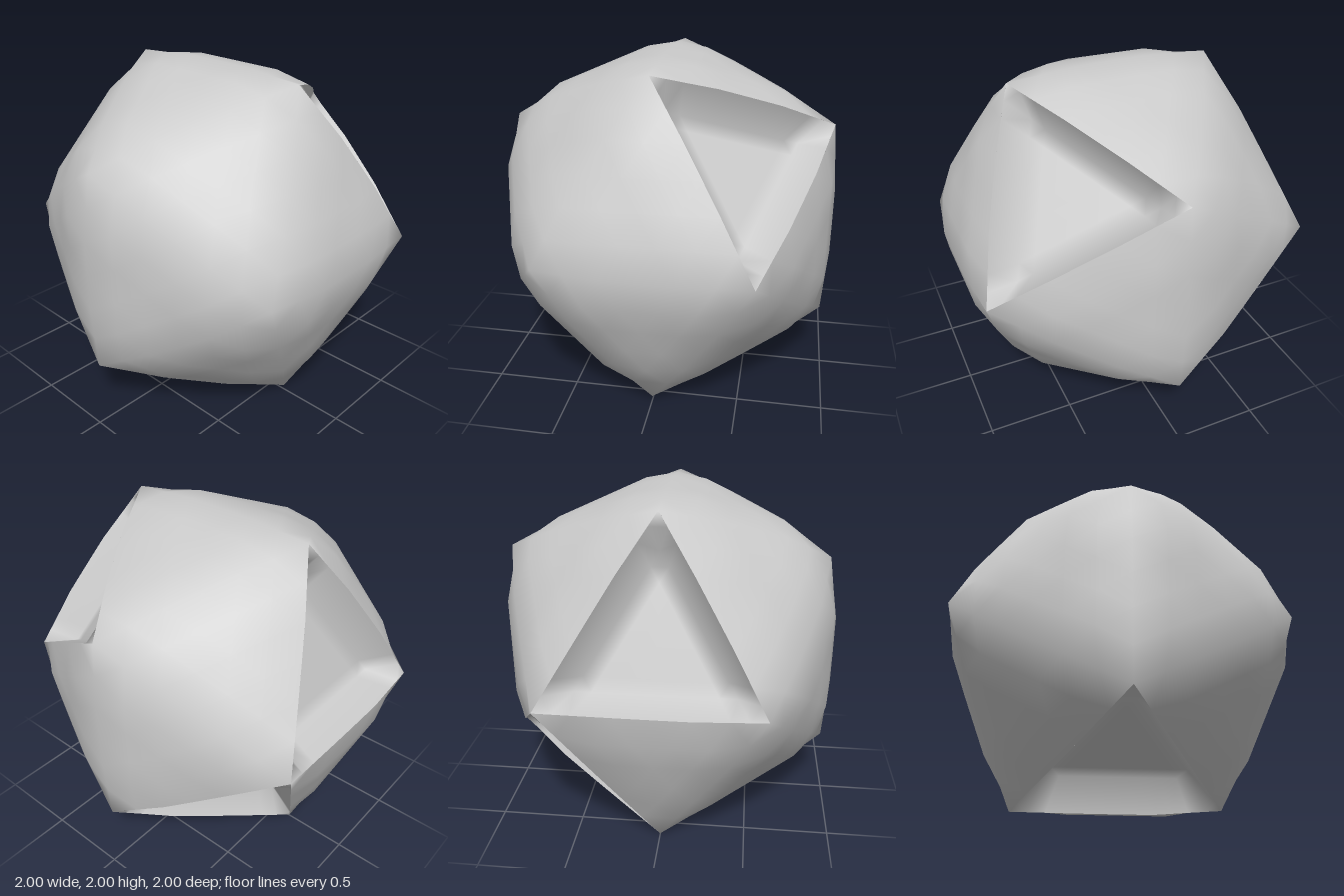
import * as THREE from 'three';
import { mergeVertices } from 'three/addons/utils/BufferGeometryUtils.js';

const RADIUS = 1.14;       // corner radius of the base icosahedron
const EDGE_BULGE = 0.03;
const FACE_BULGE = 0.062;
const SKIN_STEPS = 6;      // subdivisions along an edge of the skin
const POCKET_STEPS = 12;   // and of a pocket
const POCKET_SCALE = 0.83; // how far the pocket floors are sunk
const FLOOR_SPREAD = 1.17; // pushes the floor out towards steep walls

export function createModel() {
  const group = new THREE.Group();
  const material = new THREE.MeshStandardMaterial({ color: 0xcccccc, side: THREE.DoubleSide });

  // Twenty base triangles
  const pos = new THREE.IcosahedronGeometry(RADIUS, 0).attributes.position;
  const faces = [];
  for (let i = 0; i < pos.count; i += 3) {
    faces.push([0, 1, 2].map(k => new THREE.Vector3().fromBufferAttribute(pos, i + k)));
  }

  // Four triangles are sunk, picked by the direction they face
  const sunkDirections = [[1, 1, -1], [-2.618, 1, 0], [0, -2.618, 1], [-1, -1, -1]]
    .map(d => new THREE.Vector3(...d).normalize());
  const normalOf = f => f[0].clone().add(f[1]).add(f[2]).normalize();
  const isSunk = f => sunkDirections.some(d => d.dot(normalOf(f)) > 0.99);
  const sunkFaces = faces.filter(isSunk);
  const raisedFaces = faces.filter(f => !isSunk(f));

  // Corners are blunt between raised faces and drawn out next to pockets
  const cornerShift = v => {
    const count = sunkFaces.filter(f => f.some(p => p.distanceTo(v) < 0.01)).length;
    return [-0.035, 0, 0.03][count];
  };

  const flatPoint = (f, w) => {
    const p = new THREE.Vector3();
    f.forEach((v, k) => p.addScaledVector(v, w[k]));
    return p;
  };

  // Cushioned point of a face from its barycentric weights
  const cushion = (f, w) => {
    const p = flatPoint(f, w);
    const top = Math.max(...w);
    const near = Math.max(0, top * 3 - 2);
    const radial = THREE.MathUtils.lerp(EDGE_BULGE, cornerShift(f[w.indexOf(top)]), near);
    const plateau = Math.min(1, Math.min(...w) * 6);
    const dir = p.clone().normalize();
    return p.addScaledVector(dir, radial * (1 - plateau))
      .addScaledVector(normalOf(f), FACE_BULGE * plateau);
  };

  // Pocket point: on the rim it follows the skin, inside it drops to the floor
  const pocket = (f, w) => {
    if (Math.min(...w) < 0.01) return cushion(f, w);
    const spread = w.map(v => 1 / 3 + (v - 1 / 3) * FLOOR_SPREAD);
    return flatPoint(f, spread).multiplyScalar(POCKET_SCALE);
  };

  // Triangular grid over one face, as a list of triangle corners
  const grid = (f, n, surface) => {
    const points = [];
    const at = (i, j) => surface(f, [(n - i - j) / n, i / n, j / n]);
    for (let i = 0; i < n; i++) {
      for (let j = 0; j < n - i; j++) {
        points.push(at(i, j), at(i + 1, j), at(i, j + 1));
        if (i + j < n - 1) points.push(at(i + 1, j), at(i + 1, j + 1), at(i, j + 1));
      }
    }
    return points;
  };

  // Welded mesh with smooth normals, standing on the ground
  const addMesh = (name, points) => {
    const geometry = mergeVertices(new THREE.BufferGeometry().setFromPoints(points), 1e-4);
    geometry.computeVertexNormals();
    geometry.translate(0, 1, 0);
    const mesh = new THREE.Mesh(geometry, material);
    mesh.name = name;
    group.add(mesh);
  };

  addMesh('outerSkin', raisedFaces.flatMap(f => grid(f, SKIN_STEPS, cushion)));
  sunkFaces.forEach((f, i) => addMesh('pocket' + (i + 1), grid(f, POCKET_STEPS, pocket)));
  return group;
}
